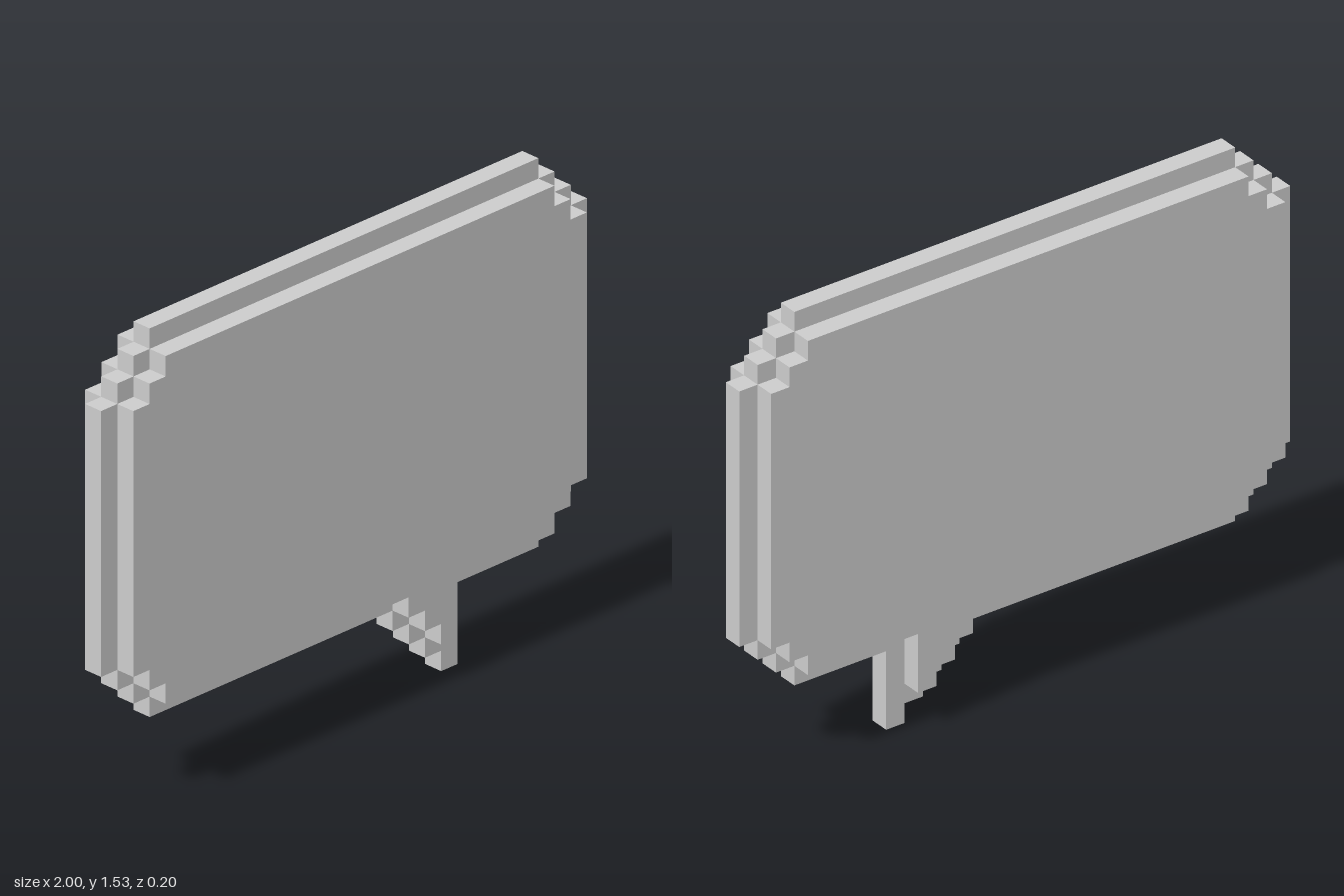
import * as THREE from 'three';

const U = 1 / 15; // size of one pixel block

// Stepped speech-bubble outline in block units, inset by g blocks.
function bubbleShape(g) {
  const pts = [];
  let x = 0, y = 0;
  const start = (px, py) => { x = px; y = py; pts.push([x, y]); };
  const move = (dx, dy) => { x += dx; y += dy; pts.push([x, y]); };
  const steps = 3 - g;

  // tail: right edge, then a staircase up to the left
  const tail = [[7 - g, 2 * g]];
  for (let i = 0; i < 4 - g; i++) {
    const [tx, ty] = tail[tail.length - 1];
    tail.push([tx - 1, ty], [tx - 1, ty + 1]);
  }

  // body, counterclockwise from the tail's right side
  start(7 - g, 4 + g);
  move(5 + g, 0);
  for (let i = 0; i < steps; i++) { move(0, 1); move(1, 0); }
  move(0, 13);
  for (let i = 0; i < steps; i++) { move(-1, 0); move(0, 1); }
  move(-24, 0);
  for (let i = 0; i < steps; i++) { move(0, -1); move(-1, 0); }
  move(0, -13);
  for (let i = 0; i < steps; i++) { move(1, 0); move(0, -1); }

  pts.push(...tail.reverse());
  return new THREE.Shape(pts.map(([a, b]) => new THREE.Vector2(a * U, b * U)));
}

function slab(name, inset, blocksDeep, material) {
  const depth = blocksDeep * U;
  const geometry = new THREE.ExtrudeGeometry(bubbleShape(inset), { depth, bevelEnabled: false });
  geometry.translate(0, 0, -depth / 2);
  const mesh = new THREE.Mesh(geometry, material);
  mesh.name = name;
  return mesh;
}

export function createModel() {
  const group = new THREE.Group();
  group.name = 'speechBubble';
  const material = new THREE.MeshStandardMaterial({ color: 0xcccccc, flatShading: true });
  // thin border, one block wider all round
  group.add(slab('border', 0, 1, material));
  // thick filling, standing one block proud on front and back
  group.add(slab('filling', 1, 3, material));
  return group;
}
